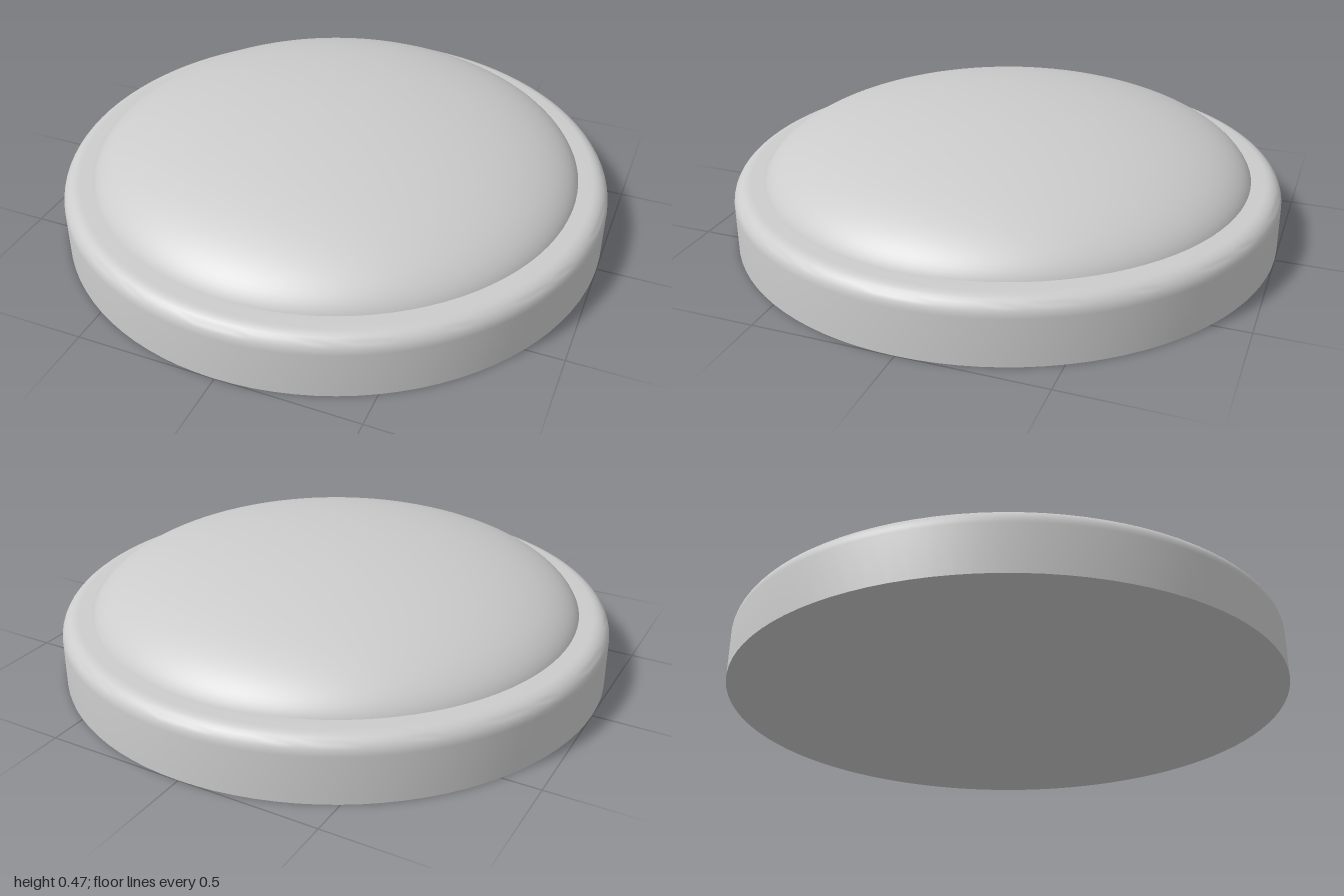
import * as THREE from 'three';
import { toCreasedNormals } from 'three/addons/utils/BufferGeometryUtils.js';

const SEGMENTS = 96;
const V = (x, y) => new THREE.Vector2(x, y);

// Points on an elliptical quarter arc, from its outer side to its top
function quarterArc(cx, cy, rx, ry, steps) {
  return Array.from({ length: steps + 1 }, (_, i) => {
    const a = (i / steps) * Math.PI / 2;
    return V(i === steps ? cx : cx + rx * Math.cos(a), cy + ry * Math.sin(a));
  });
}

function turned(name, points, material) {
  const geometry = toCreasedNormals(new THREE.LatheGeometry(points, SEGMENTS), 0.6);
  const mesh = new THREE.Mesh(geometry, material);
  mesh.name = name;
  return mesh;
}

export function createModel() {
  const group = new THREE.Group();
  group.name = 'domedDisc';
  const material = new THREE.MeshStandardMaterial({ color: 0xcccccc });

  // Flat-bottomed base with a rounded upper rim
  const height = 0.227, fillet = 0.06;
  group.add(turned('base', [
    V(0, 0), V(1, 0),
    ...quarterArc(1 - fillet, height - fillet, fillet, fillet, 8),
    V(0.86, height),
  ], material));

  // Shallow dome, its foot sunk just below the rim
  group.add(turned('dome', quarterArc(0, 0.19, 0.897, 0.275, 32), material));

  return group;
}
